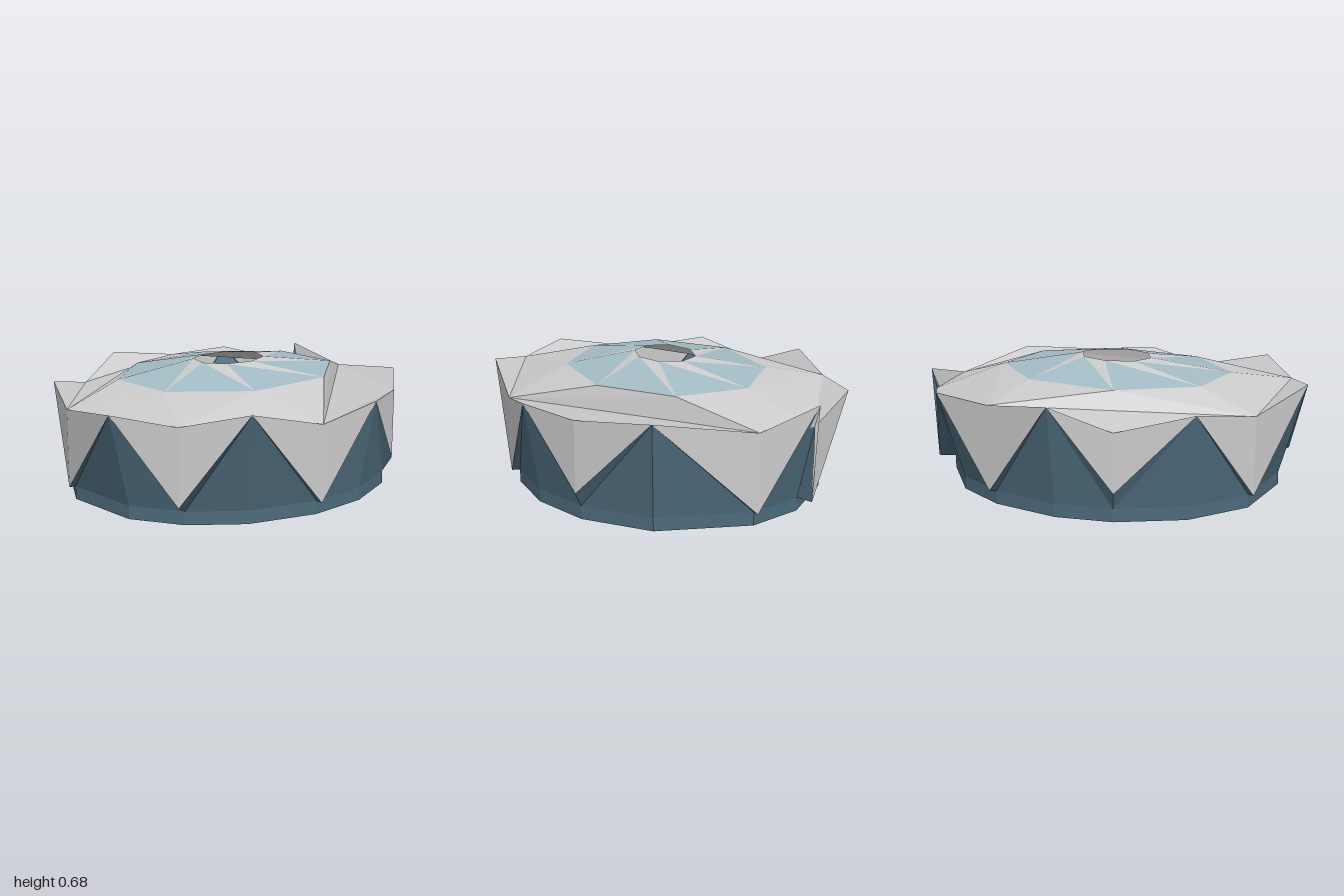
import * as THREE from 'three';

const mat = (color) => new THREE.MeshStandardMaterial({ color, flatShading: true, side: THREE.DoubleSide });
const grey = mat(0xcccccc), steel = mat(0x4d6b7c), glass = mat(0xa3bcc5);
const green = mat(0x44703f), red = mat(0x8a2a32), dark = mat(0x222426);

// Mesh from a list of triangles, each of three [x, y, z] points
function sheet(name, tris, material) {
  const geo = new THREE.BufferGeometry();
  geo.setAttribute('position', new THREE.Float32BufferAttribute(tris.flat(2), 3));
  geo.computeVertexNormals();
  const mesh = new THREE.Mesh(geo, material);
  mesh.name = name;
  return mesh;
}

// Rim of the facade: peaks (even) alternate with valleys (odd)
const rim = [
  [-0.55, 0.59, 0.82], [-0.11, 0.48, 0.865], [0.25, 0.545, 0.89], [0.58, 0.53, 0.73],
  [0.90, 0.565, 0.45], [1.0, 0.49, -0.07], [0.965, 0.58, -0.42], [0.95, 0.465, -0.40],
  [0.67, 0.545, -0.76], [0.30, 0.535, -0.82], [-0.10, 0.59, -0.89], [-0.40, 0.47, -0.76],
  [-0.75, 0.555, -0.56], [-0.91, 0.49, -0.20], [-1.0, 0.565, 0.29], [-0.80, 0.525, 0.57],
];
// Height of the lower tip below each valley
const tipHeight = { 1: 0.07, 3: 0.15, 5: 0.07, 7: 0.07, 9: 0.08, 11: 0.16, 13: 0.07, 15: 0.12 };
const N = rim.length, BASE = 0.07;
const at = (i) => rim[(i + N) % N];
const tip = (i) => { const k = (i + N) % N; return [rim[k][0], tipHeight[k], rim[k][2]]; };

// Base outline: each rim point pulled in onto an ellipse
function foot(i) {
  let k = (i + N) % N;
  if (k === 6) k = 7;
  const u = (rim[k][0] - 0.03) / 0.935, v = (rim[k][2] - 0.01) / 0.82, r = Math.hypot(u, v);
  return [0.03 + 0.935 * u / r, BASE, 0.01 + 0.82 * v / r];
}

// Roof octagon and oculus
const octagon = [
  [-0.24, -0.475], [0.27, -0.475], [0.625, -0.19], [0.625, 0.21],
  [0.27, 0.50], [-0.235, 0.50], [-0.59, 0.21], [-0.59, -0.185],
].map(([x, z]) => [x, 0.605, z]);
const oculus = [
  [0, -0.145], [0.15, -0.11], [0.225, 0], [0.18, 0.12],
  [0.04, 0.175], [-0.11, 0.14], [-0.185, 0.035], [-0.145, -0.09],
].map(([x, z]) => [x, 0.675, z]);

export function createModel() {
  const group = new THREE.Group();
  group.name = 'stadium';

  // Low plinth
  const outline = rim.map((_, i) => i).filter((i) => i !== 6)
    .map((i) => new THREE.Vector2(foot(i)[0], -foot(i)[2]));
  const plinthGeo = new THREE.ExtrudeGeometry(new THREE.Shape(outline), { depth: BASE, bevelEnabled: false });
  plinthGeo.rotateX(-Math.PI / 2);
  const plinth = new THREE.Mesh(plinthGeo, [dark, steel]);
  plinth.name = 'plinth';
  group.add(plinth);

  // Facade: steel triangles pointing up, folded grey triangles pointing down, flaps on top
  const walls = [], cladding = [], flaps = [];
  for (let p = 0; p < N; p += 2) {
    const fan = [tip(p - 1), foot(p - 1), foot(p), foot(p + 1), tip(p + 1)];
    for (let j = 0; j < 4; j++) walls.push([at(p), fan[j], fan[j + 1]]);
    const v = p + 1;
    cladding.push([at(p), tip(v), at(v)], [at(v), tip(v), at(v + 1)]);
    flaps.push([at(p - 1), at(p), at(p + 1)]);
  }
  group.add(sheet('facadeWalls', walls, steel));
  group.add(sheet('facadeCladding', cladding, grey));

  // Two wide eaves behind the flaps
  flaps.push([at(9), at(11), at(13)], [at(1), at(3), at(5)]);
  group.add(sheet('roofFlaps', flaps, grey));

  // Outer roof: strip between the main valleys and the octagon
  const corners = [13, 9, 7, 5, 1, 15].map(at);
  const slopes = [];
  let c = 0, o = 6;
  for (const step of 'ooroorrorooror') {
    const a = corners[c % 6], b = octagon[o % 8];
    const next = step === 'o' ? octagon[++o % 8] : corners[++c % 6];
    slopes.push([a, next, b]);
  }
  group.add(sheet('outerRoof', slopes, grey));

  // Inner roof: glazed petals with grey blades between them
  const petals = [], blades = [];
  for (let i = 0; i < 8; i++) {
    const j = (i + 1) % 8;
    petals.push([octagon[i], oculus[j], octagon[j]]);
    blades.push([octagon[i], oculus[i], oculus[j]]);
  }
  group.add(sheet('roofPetals', petals, glass));
  group.add(sheet('roofBlades', blades, grey));

  // Stepped seating bowl
  const steps = [];
  for (let i = 0; i < 10; i++) {
    const r = 0.42 + i * 0.038, y = 0.09 + i * 0.03;
    steps.push(new THREE.Vector2(r, y), new THREE.Vector2(r + 0.038, y));
  }
  const seats = new THREE.Mesh(new THREE.LatheGeometry(steps, 24), red);
  seats.name = 'seats';
  seats.position.set(0.03, 0, 0.01);
  seats.scale.z = 0.85;
  group.add(seats);

  // Playing field
  const field = new THREE.Mesh(new THREE.CylinderGeometry(0.45, 0.45, 0.02, 24), green);
  field.name = 'field';
  field.position.set(0.03, 0.08, 0.01);
  field.scale.z = 0.85;
  group.add(field);

  return group;
}
